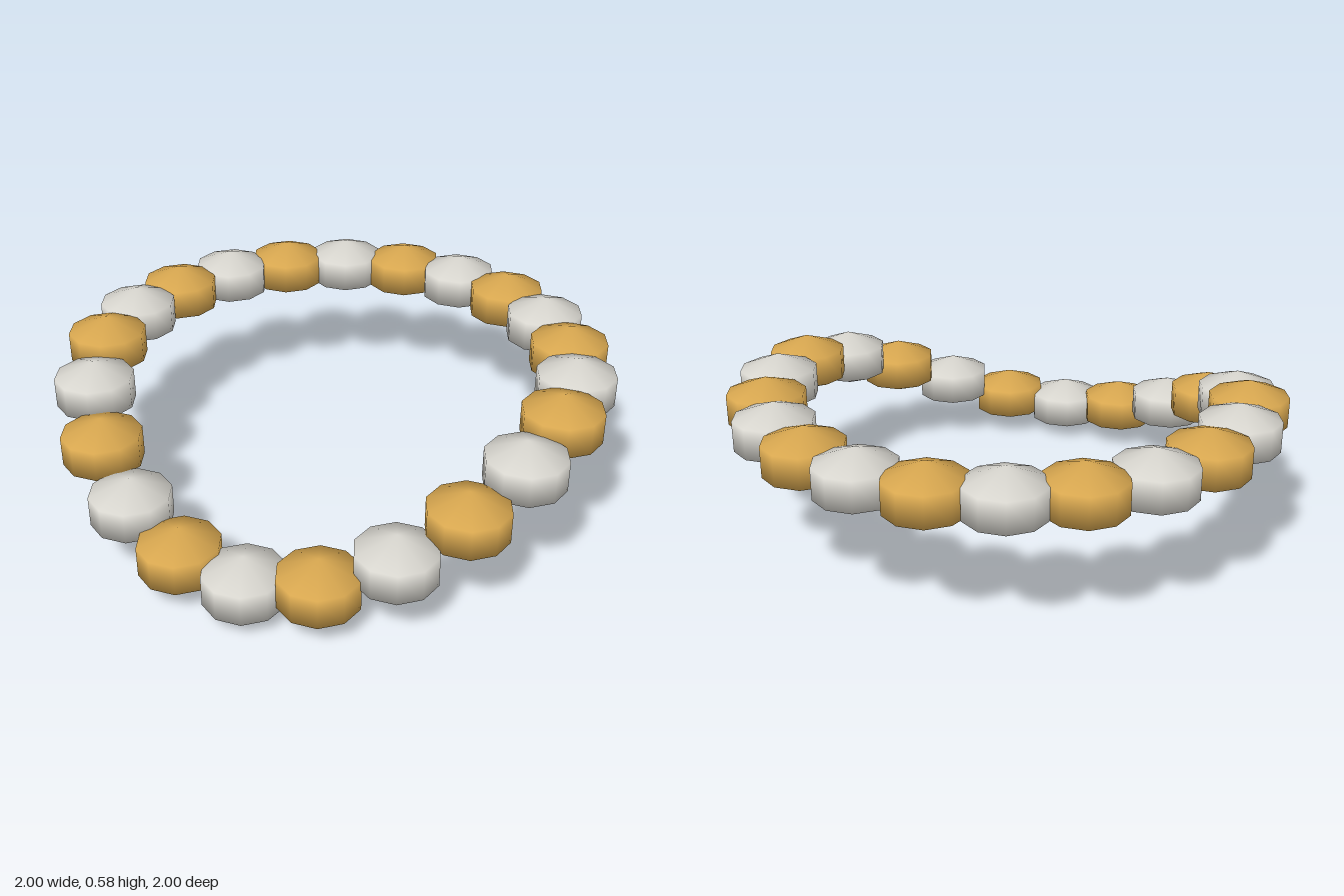
import * as THREE from 'three';

export function createModel() {
  const group = new THREE.Group();
  group.name = 'beadRing';

  const gold = new THREE.MeshStandardMaterial({ color: 0xd9a850 });
  gold.name = 'gold';
  const pearl = new THREE.MeshStandardMaterial({ color: 0xd9d7d0 });
  pearl.name = 'pearl';

  // Low-poly bead: ten sides, three bands, squashed in height
  const beadRadius = 0.164, beadHalfHeight = 0.109;
  const beadGeometry = new THREE.SphereGeometry(beadRadius, 10, 3);
  beadGeometry.scale(1, beadHalfHeight / beadRadius, 1);

  // Beads alternate in colour around a circle; the front half dips down
  const count = 22, ringRadius = 0.865, backHeight = 0.475, dip = 0.365;
  for (let i = 0; i < count; i++) {
    const angle = (i / count) * Math.PI * 2;
    const front = Math.max(0, Math.cos(angle));
    const isPearl = i % 2 === 0;
    const bead = new THREE.Mesh(beadGeometry, isPearl ? pearl : gold);
    bead.name = isPearl ? 'pearlBead' : 'goldBead';
    bead.position.set(
      Math.sin(angle) * ringRadius,
      backHeight - dip * front * front,
      Math.cos(angle) * ringRadius
    );
    group.add(bead);
  }
  return group;
}
